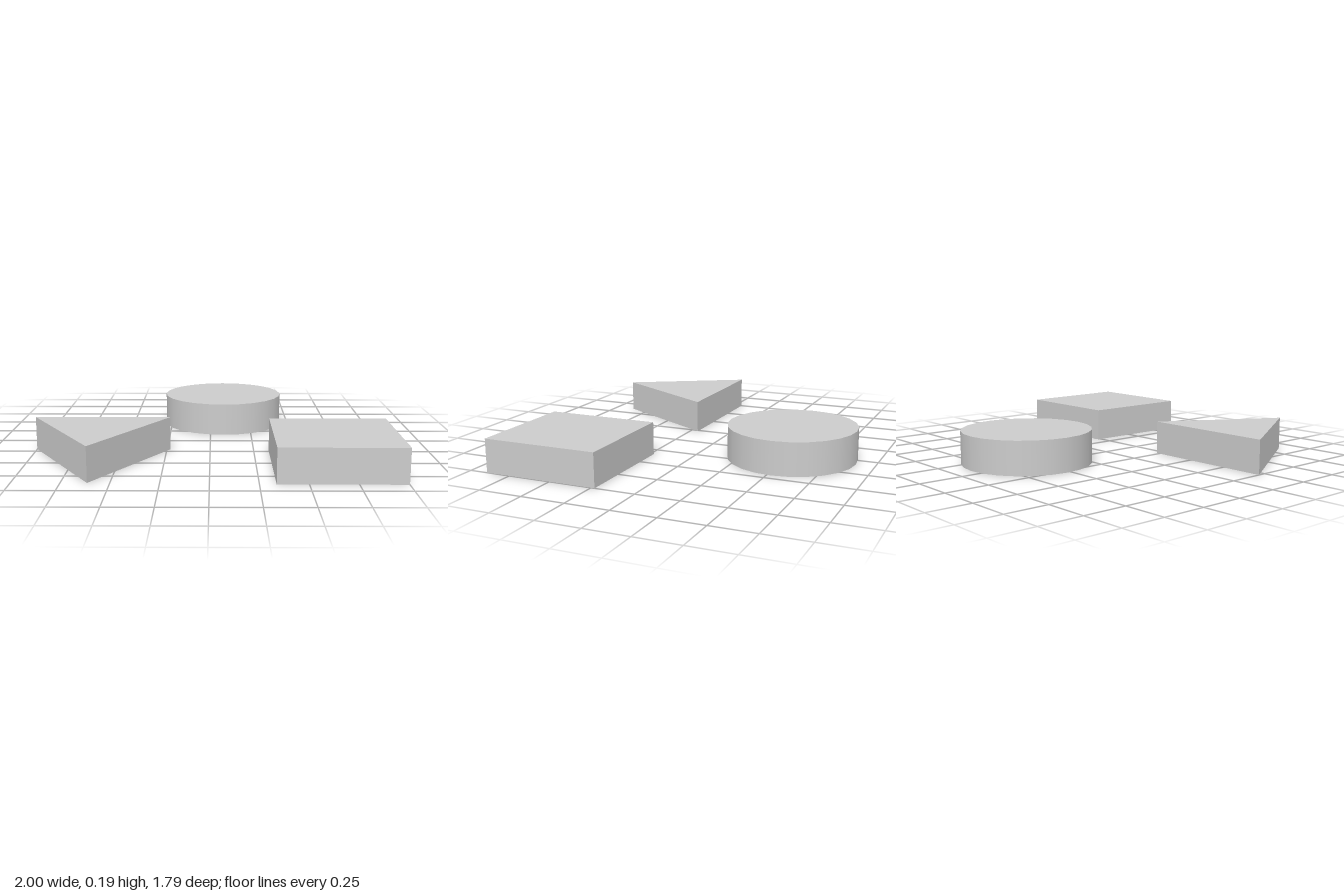
import * as THREE from 'three';

const HEIGHT = 0.19;

export function createModel() {
  const group = new THREE.Group();

  // Every block stands on the ground and shares one height
  const addBlock = (name, geometry, x, z, flatShading) => {
    const material = new THREE.MeshStandardMaterial({ color: 0xcccccc, flatShading });
    const mesh = new THREE.Mesh(geometry, material);
    mesh.name = name;
    mesh.position.set(x, HEIGHT / 2, z);
    group.add(mesh);
  };

  // Round block at the back
  addBlock('roundBlock', new THREE.CylinderGeometry(0.37, 0.37, HEIGHT, 24), 0.08, -0.523, false);

  // Triangular block with one corner pointing to the front
  addBlock('triangularBlock', new THREE.CylinderGeometry(0.445, 0.445, HEIGHT, 3), -0.615, 0.426, true);

  // Square block
  addBlock('squareBlock', new THREE.BoxGeometry(0.664, HEIGHT, 0.664), 0.668, 0.561, true);

  return group;
}
